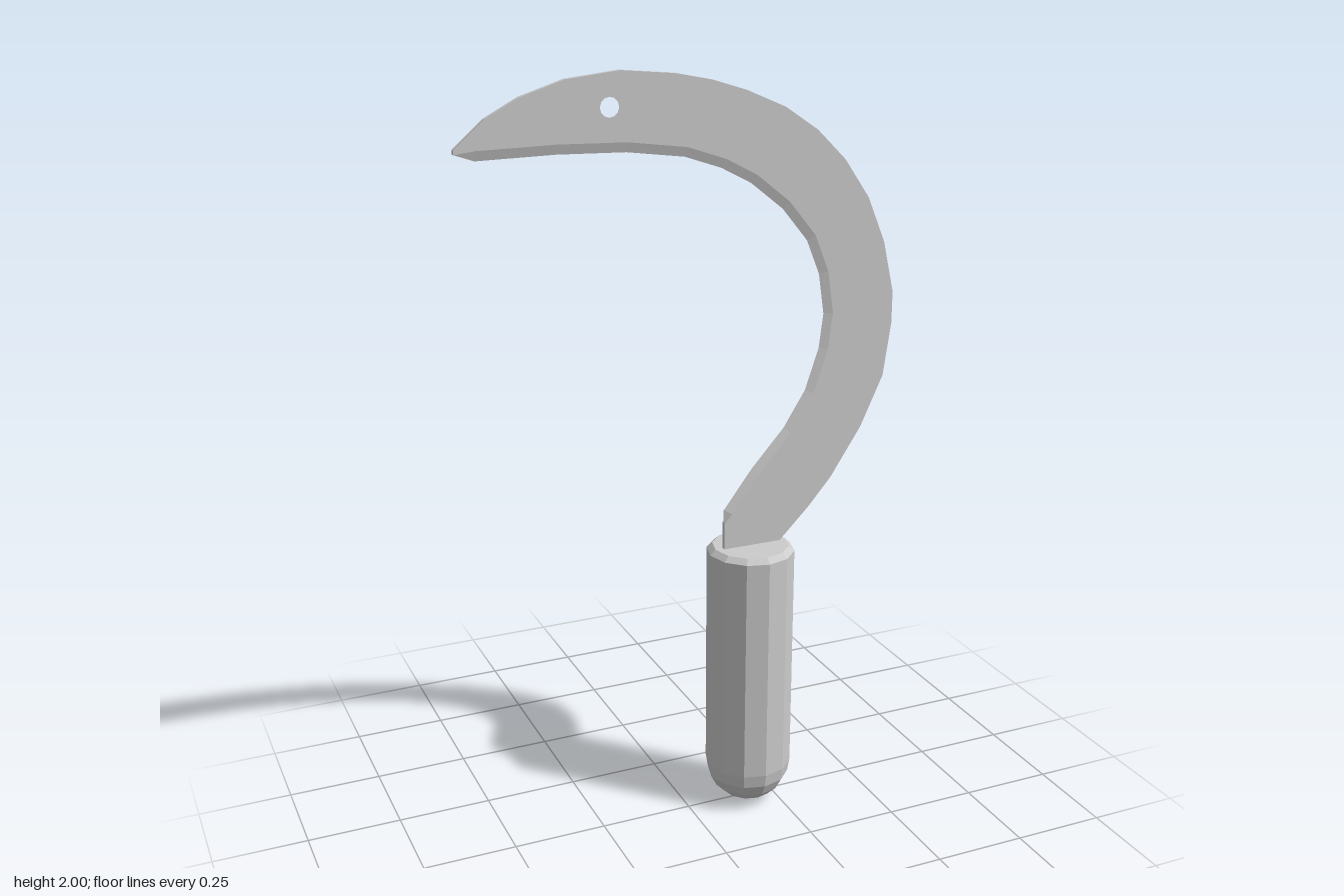
import * as THREE from 'three';

const HALF = 0.007; // half of the blade thickness
const BEVEL = 0.024; // width of the ground cutting edge

// Spine of the blade, from the tip round to the handle
const spine = [
  [-0.58, 1.84], [-0.505, 1.905], [-0.42, 1.95], [-0.31, 1.985], [-0.175, 2], [-0.035, 1.987],
  [0.06, 1.968], [0.15, 1.94], [0.255, 1.895], [0.345, 1.835], [0.425, 1.757], [0.495, 1.657],
  [0.545, 1.54], [0.577, 1.405], [0.577, 1.32], [0.557, 1.18], [0.495, 1.045], [0.41, 0.915],
  [0.345, 0.84], [0.26, 0.755], [0.26, 0.7],
];

// Cutting edge, from the handle round to the tip
const edge = [
  [0.1, 0.83], [0.1, 0.865], [0.18, 0.97], [0.27, 1.07], [0.33, 1.165], [0.367, 1.275],
  [0.378, 1.365], [0.362, 1.47], [0.325, 1.56], [0.255, 1.645], [0.167, 1.715], [0.087, 1.757],
  [-0.01, 1.79], [-0.16, 1.81], [-0.335, 1.815], [-0.53, 1.812], [-0.58, 1.83],
];

// Line where the bevel meets the flat of the blade
function insetLine(points) {
  const last = points.length - 1;
  return points.map(([x, y], i) => {
    if (i === 0 || i === last) return [x, y];
    const dx = points[i + 1][0] - points[i - 1][0];
    const dy = points[i + 1][1] - points[i - 1][1];
    const s = BEVEL / Math.hypot(dx, dy);
    return [x + dy * s, y - dx * s];
  });
}

function createBlade(material) {
  const blade = new THREE.Group();
  blade.name = 'blade';
  const inset = insetLine(edge);

  // Flat plate with a hanging hole
  const outline = [...spine, [0.1, 0.7], ...inset].map(([x, y]) => new THREE.Vector2(x, y));
  const shape = new THREE.Shape(outline);
  const hole = new THREE.Path();
  hole.absarc(-0.203, 1.917, 0.024, 0, Math.PI * 2, true);
  shape.holes.push(hole);
  const plateGeometry = new THREE.ExtrudeGeometry(shape, {
    depth: HALF * 2, bevelEnabled: false, curveSegments: 6,
  });
  plateGeometry.translate(0, 0, -HALF);
  const plate = new THREE.Mesh(plateGeometry, material);
  plate.name = 'bladePlate';

  // Bevel on both faces, meeting in a sharp edge
  const positions = [];
  for (const side of [1, -1]) {
    for (let i = 0; i < edge.length - 1; i++) {
      const a = [...edge[i], 0];
      const b = [...inset[i], side * HALF];
      const c = [...inset[i + 1], side * HALF];
      const d = [...edge[i + 1], 0];
      const corners = side > 0 ? [a, b, c, a, c, d] : [a, c, b, a, d, c];
      positions.push(...corners.flat());
    }
  }
  const bevelGeometry = new THREE.BufferGeometry();
  bevelGeometry.setAttribute('position', new THREE.Float32BufferAttribute(positions, 3));
  bevelGeometry.computeVertexNormals();
  const bevel = new THREE.Mesh(bevelGeometry, material);
  bevel.name = 'cuttingEdge';

  blade.add(plate, bevel);
  return blade;
}

// Twelve-sided grip with a domed end and a chamfered top
function createHandle(material) {
  const radius = 0.117;
  const profile = [];
  for (let i = 0; i <= 5; i++) {
    const a = (i / 5) * Math.PI / 2;
    profile.push(new THREE.Vector2(radius * Math.sin(a), radius * (1 - Math.cos(a))));
  }
  profile.push(
    new THREE.Vector2(radius, 0.743),
    new THREE.Vector2(0.102, 0.757),
    new THREE.Vector2(0, 0.757),
  );
  const handle = new THREE.Mesh(new THREE.LatheGeometry(profile, 12), material);
  handle.name = 'handle';
  handle.position.x = 0.179;
  return handle;
}

export function createModel() {
  const material = new THREE.MeshStandardMaterial({ color: 0xcccccc, flatShading: true });
  const model = new THREE.Group();
  model.name = 'sickle';
  model.add(createBlade(material), createHandle(material));
  return model;
}
